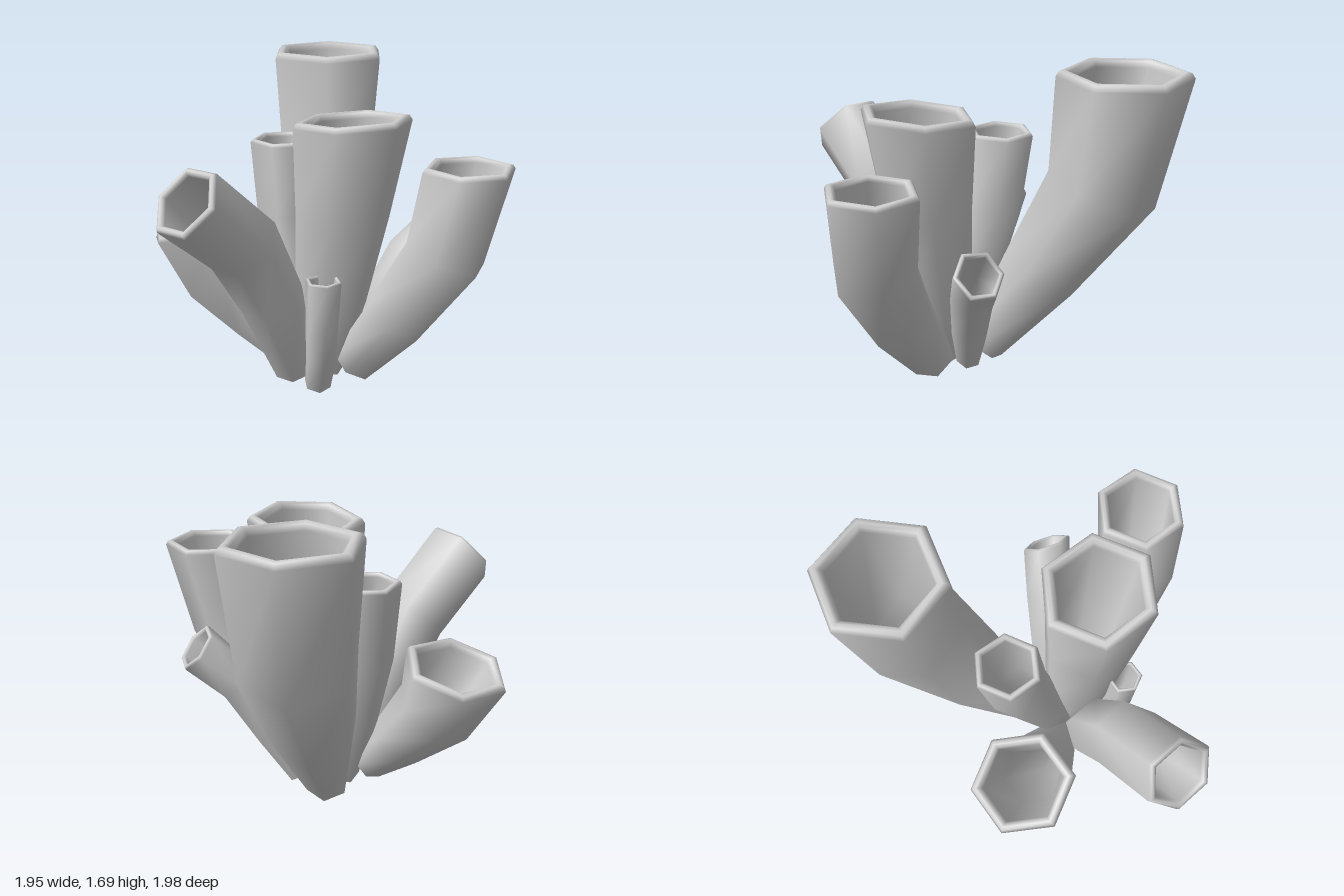
import * as THREE from 'three';

const SIDES = 6;
const UP = new THREE.Vector3(0, 1, 0);
const material = new THREE.MeshStandardMaterial({ color: 0xcccccc });

// Hollow six-sided tube: points are [x, y, z, radius] from base to mouth,
// turn is the angle of the first corner, mouth is the direction the opening faces.
function hollowTube(name, turn, mouth, points) {
  const centres = points.map(p => new THREE.Vector3(p[0], p[1], p[2]));
  const last = points.length - 1;
  const mouthDir = new THREE.Vector3(...mouth).normalize();
  const frames = centres.map((c, i) => {
    const dir = i === last ? mouthDir
      : centres[i + 1].clone().sub(centres[Math.max(i - 1, 0)]).normalize();
    return { c, dir, q: new THREE.Quaternion().setFromUnitVectors(UP, dir), r: points[i][3] };
  });

  // Outer wall, rounded lip, then inner wall back down to the base
  const tip = frames[last], R = tip.r;
  const lip = (scale, drop) => ({ ...tip, r: R * scale, c: tip.c.clone().addScaledVector(tip.dir, -drop * R) });
  const rings = [
    ...frames.slice(0, last),
    lip(1, 0.1), lip(0.95, 0.02), lip(0.88, 0), lip(0.81, 0.03), lip(0.77, 0.12),
    ...frames.slice(0, last).reverse().map(f => ({ ...f, r: f.r * 0.75 })),
  ];

  const positions = [], index = [];
  for (const f of rings) {
    for (let k = 0; k < SIDES; k++) {
      const a = THREE.MathUtils.degToRad(turn) + (k / SIDES) * Math.PI * 2;
      const v = new THREE.Vector3(Math.cos(a) * f.r, 0, Math.sin(a) * f.r).applyQuaternion(f.q).add(f.c);
      positions.push(v.x, v.y, v.z);
    }
  }
  for (let i = 0; i < rings.length; i++) {
    const lo = i * SIDES, hi = ((i + 1) % rings.length) * SIDES;
    for (let k = 0; k < SIDES; k++) {
      const n = (k + 1) % SIDES;
      index.push(lo + k, hi + k, lo + n, hi + k, hi + n, lo + n);
    }
  }
  const geometry = new THREE.BufferGeometry();
  geometry.setAttribute('position', new THREE.Float32BufferAttribute(positions, 3));
  geometry.setIndex(index);
  geometry.computeVertexNormals();
  const mesh = new THREE.Mesh(geometry, material);
  mesh.name = name;
  return mesh;
}

export function createModel() {
  const group = new THREE.Group();
  group.name = 'tubeCluster';
  group.add(
    hollowTube('largeBackTube', -77, [0, 1, 0], [
      [-0.15, 0.09, -0.17, 0.12], [-0.36, 0.53, -0.37, 0.22],
      [-0.58, 1.04, -0.60, 0.3], [-0.64, 1.68, -0.66, 0.35]]),
    hollowTube('centreTube', 0, [-0.08, 1, 0], [
      [0.02, 0.05, -0.03, 0.13], [0.08, 0.45, -0.04, 0.2],
      [0.16, 0.95, -0.05, 0.255], [0.22, 1.485, -0.06, 0.315]]),
    hollowTube('rightTallTube', 0, [0, 1, 0], [
      [0.18, 0.1, -0.12, 0.13], [0.43, 0.43, -0.2, 0.185],
      [0.67, 0.82, -0.3, 0.225], [0.735, 1.28, -0.38, 0.245]]),
    hollowTube('slimTallTube', 0, [0, 1, 0], [
      [-0.06, 0.07, -0.02, 0.1], [-0.18, 0.45, -0.03, 0.14],
      [-0.29, 0.85, -0.05, 0.17], [-0.34, 1.285, -0.06, 0.183]]),
    hollowTube('wideFrontTube', 90, [-0.26, 1, 0.05], [
      [-0.14, 0.12, 0.1, 0.1], [-0.29, 0.3, 0.19, 0.16],
      [-0.47, 0.52, 0.3, 0.225], [-0.57, 0.81, 0.36, 0.285]]),
    hollowTube('frontLeaningTube', -7, [0.05, 0.63, 0.78], [
      [0, 0.07, 0.14, 0.12], [-0.01, 0.52, 0.3, 0.175],
      [0.01, 0.87, 0.5, 0.2], [0.04, 1.185, 0.87, 0.205]]),
    hollowTube('smallFrontTube', 90, [0, 1, 0], [
      [0.14, 0.02, 0.11, 0.075], [0.2, 0.2, 0.14, 0.085],
      [0.235, 0.4, 0.165, 0.09], [0.255, 0.67, 0.17, 0.098]]),
    hollowTube('smallBackTube', 80, [0.2, 0.64, -0.75], [
      [0.02, 0.09, -0.24, 0.07], [0.11, 0.35, -0.36, 0.105],
      [0.21, 0.64, -0.5, 0.125], [0.335, 0.84, -0.69, 0.135]]),
  );
  return group;
}
